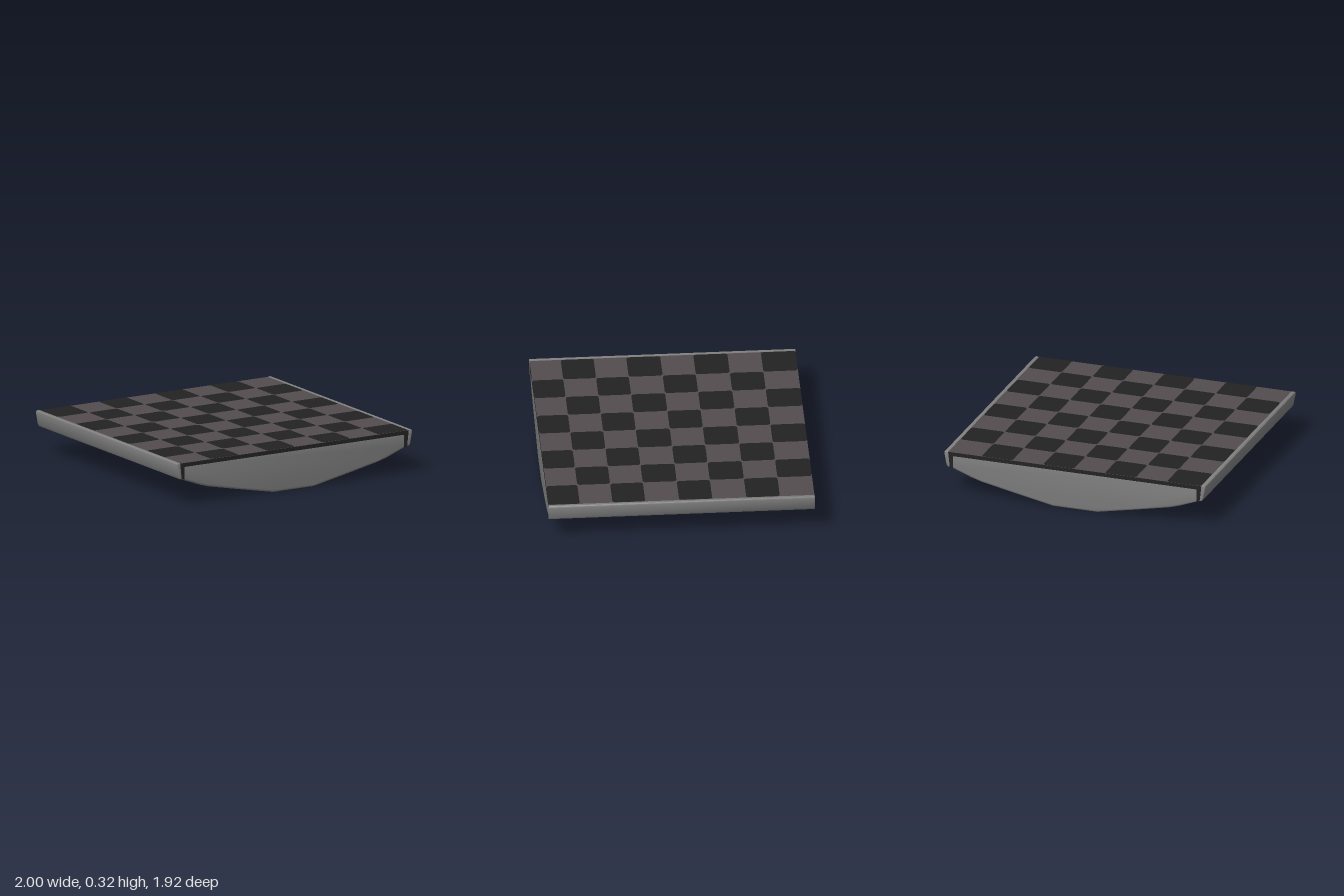
import * as THREE from 'three';
import { toCreasedNormals } from 'three/addons/utils/BufferGeometryUtils.js';

const mat = (name, color) => new THREE.MeshStandardMaterial({ name, color });
const DEPTH = 0.96; // half length along z

// Extrude an x-y profile along z with rounded ends, keeping the outer outline exact
function extrudeProfile(points, half, bevel) {
  const shape = new THREE.Shape(points.map(([x, y]) => new THREE.Vector2(x, y)));
  const g = new THREE.ExtrudeGeometry(shape, {
    depth: 2 * (half - bevel), bevelEnabled: true, bevelThickness: bevel,
    bevelSize: bevel, bevelOffset: -bevel, bevelSegments: 3,
  });
  g.translate(0, 0, -(half - bevel));
  return toCreasedNormals(g, 0.55);
}

// Flat rounded rectangle lying face up
function roundedTile(x0, x1, z0, z1, r) {
  const s = new THREE.Shape();
  const [a, b, c, d] = [x0, x1, -z1, -z0];
  s.moveTo(a + r, c);
  s.lineTo(b - r, c).quadraticCurveTo(b, c, b, c + r);
  s.lineTo(b, d - r).quadraticCurveTo(b, d, b - r, d);
  s.lineTo(a + r, d).quadraticCurveTo(a, d, a, d - r);
  s.lineTo(a, c + r).quadraticCurveTo(a, c, a + r, c);
  return new THREE.ShapeGeometry(s, 4).rotateX(-Math.PI / 2);
}

export function createModel() {
  const group = new THREE.Group();
  const grey = mat('bodyGrey', 0x7f7f7f);
  const dark = mat('darkTile', 0x222222);
  const light = mat('lightTile', 0x524c4f);
  const add = (name, geometry, material, parent = group) => {
    const m = new THREE.Mesh(geometry, material);
    m.name = name;
    parent.add(m);
    return m;
  };

  // Tapered underside with a narrow flat keel
  const half = [[0.17, 0], [0.21, 0.008], [0.48, 0.062], [0.72, 0.112], [0.8, 0.136], [0.968, 0.2], [0.968, 0.3]];
  const outline = [...half, ...half.map(([x, y]) => [-x, y]).reverse()];
  add('hull', extrudeProfile(outline, 0.956, 0.016), grey);

  // Board slab: dark edges, light upper face
  const slab = new THREE.BoxGeometry(1.94, 0.029, 2 * DEPTH);
  slab.translate(0, 0.3015, 0);
  add('boardSlab', slab, [dark, dark, light, dark, dark, dark]);

  // Dark squares of the checkerboard
  const xs = [-0.965, -0.705, -0.468, -0.23, 0.007, 0.243, 0.478, 0.713, 0.965];
  const zs = [-0.96, -0.71, -0.468, -0.222, 0.017, 0.262, 0.498, 0.735, 0.96];
  const tiles = new THREE.Group();
  tiles.name = 'darkTiles';
  group.add(tiles);
  for (let row = 0; row < 8; row++) {
    for (let col = row % 2; col < 8; col += 2) {
      const g = roundedTile(xs[col], xs[col + 1], zs[row], zs[row + 1], 0.025);
      add('darkTile', g, dark, tiles).position.y = 0.3175;
    }
  }

  for (const side of [1, -1]) {
    const name = side > 0 ? 'left' : 'right';
    // Leaning side rail
    const rail = [[0.955, 0.2], [0.972, 0.2], [0.983, 0.218], [1, 0.305], [0.997, 0.315], [0.988, 0.32], [0.968, 0.318]];
    add(name + 'Rail', extrudeProfile(rail.map(([x, y]) => [side * x, y]), 0.962, 0.006), grey);
    // Dark trim down both ends, next to the rail
    for (const end of [1, -1]) {
      const trim = [[0.932, 0.192], [0.966, 0.203], [0.972, 0.3], [0.932, 0.3]];
      const shape = new THREE.Shape(trim.map(([x, y]) => new THREE.Vector2(side * x, y)));
      const g = new THREE.ExtrudeGeometry(shape, { depth: 0.009, bevelEnabled: false });
      add(name + 'EndTrim', g, dark).position.z = end > 0 ? DEPTH - 0.009 : -DEPTH;
    }
  }
  return group;
}
